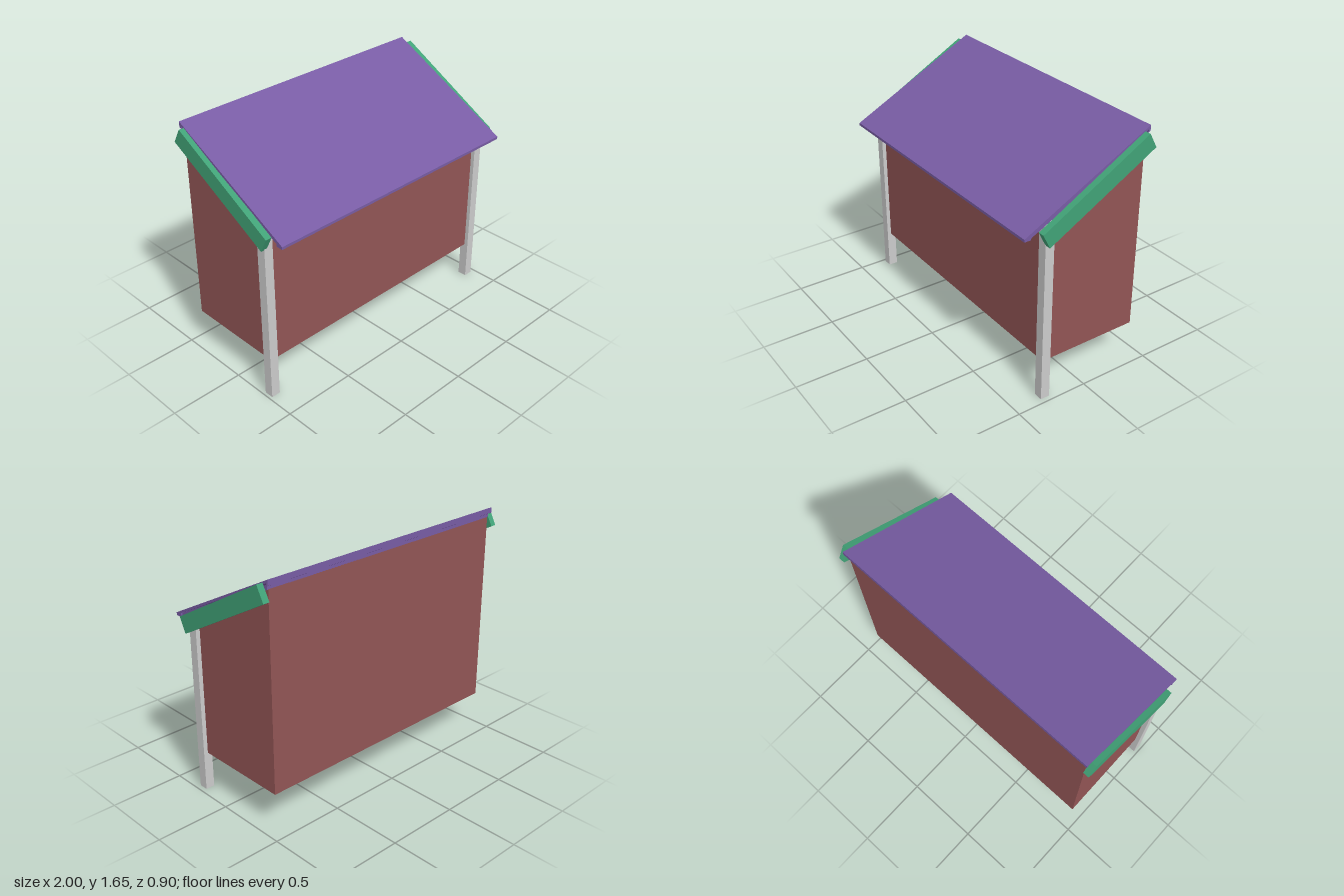
import * as THREE from 'three';

const material = (color) => new THREE.MeshStandardMaterial({ color, flatShading: true });

// Side profile given as [z, y] points, extruded along x from x0 to x1
function profilePart(name, points, x0, x1, mat) {
  const shape = new THREE.Shape(points.map(([z, y]) => new THREE.Vector2(-z, y)));
  const geometry = new THREE.ExtrudeGeometry(shape, { depth: x1 - x0, bevelEnabled: false });
  geometry.rotateY(Math.PI / 2).translate(x0, 0, 0);
  const mesh = new THREE.Mesh(geometry, mat);
  mesh.name = name;
  return mesh;
}

export function createModel() {
  const group = new THREE.Group();
  group.name = 'shelter';
  const grey = material(0xcccccc);
  const brown = material(0x925555);
  const green = material(0x41a277);
  const purple = material(0x785ca4);

  // Closed body with a sloping top, its front on the centre line of the posts
  group.add(profilePart('body',
    [[0.283, 0.263], [0.283, 1.228], [-0.42, 1.58], [-0.42, 0.263]], -0.949, 0.936, brown));

  // Front posts, cut to the slope of the roof
  const postProfile = [[0.31, 0], [0.31, 1.215], [0.247, 1.246], [0.247, 0]];
  for (const [name, x] of [['rightPost', -0.948], ['leftPost', 0.934]]) {
    group.add(profilePart(name, postProfile, x - 0.031, x + 0.031, grey));
  }

  // Sloping trim boards at both ends
  const boardProfile = [[0.355, 1.2], [0.306, 1.101], [-0.453, 1.52], [-0.398, 1.619]];
  group.add(profilePart('rightTrimBoard', boardProfile, -1, -0.958, green));
  group.add(profilePart('leftTrimBoard', boardProfile, 0.957, 1, green));

  // Roof deck under the sheet
  group.add(profilePart('roofDeck',
    [[0.405, 1.168], [0.405, 1.19], [-0.42, 1.61], [-0.42, 1.578], [0.25, 1.243]],
    -0.955, 0.945, purple));

  // Thin roof sheet with a small lip at the front and back edges
  group.add(profilePart('roofSheet',
    [[0.452, 1.185], [0.452, 1.167], [0.405, 1.167], [0.405, 1.192],
      [-0.425, 1.621], [-0.425, 1.602], [-0.44, 1.61], [-0.44, 1.647]],
    -0.965, 0.955, purple));

  return group;
}
